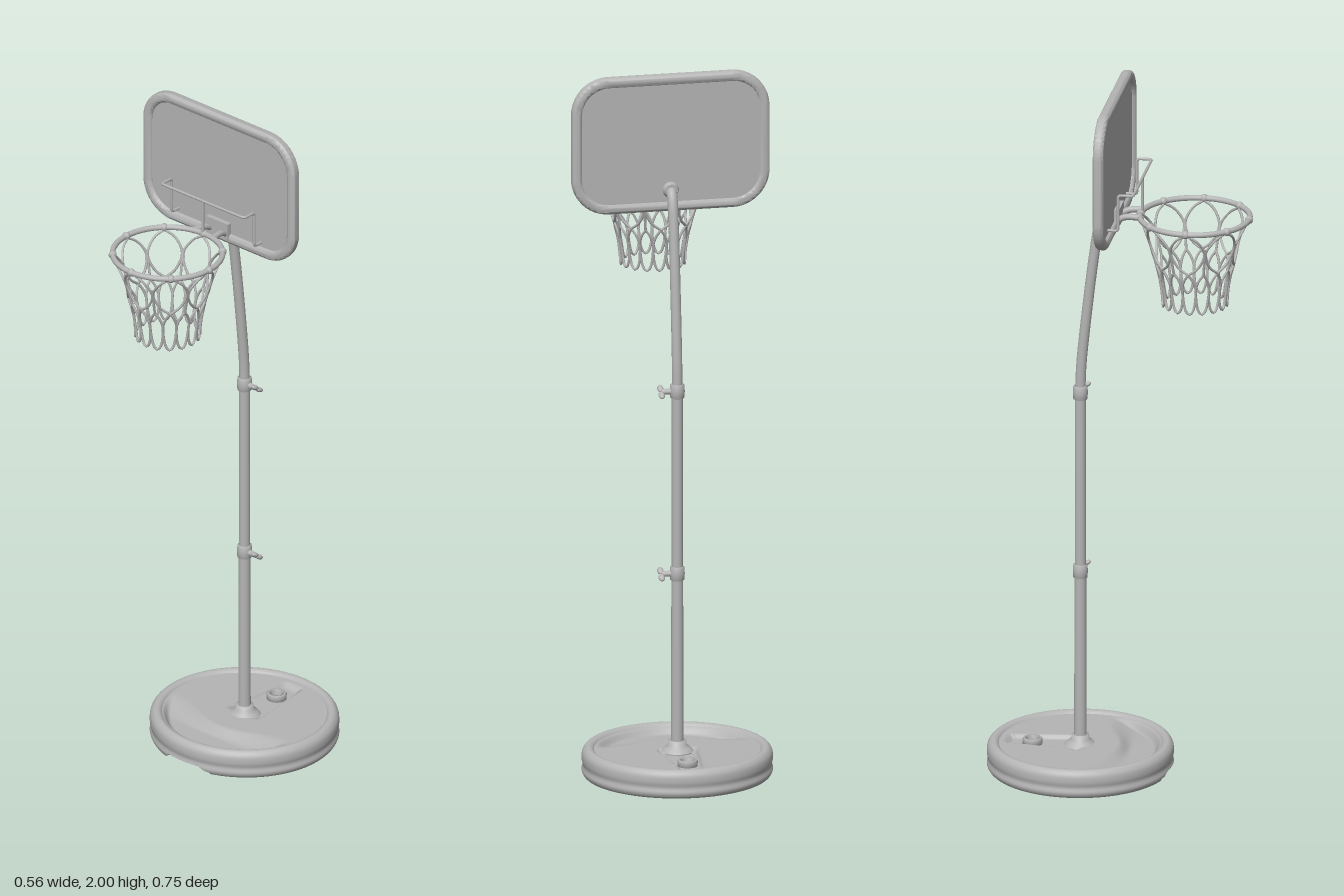
import * as THREE from 'three';
import { toCreasedNormals } from 'three/addons/utils/BufferGeometryUtils.js';
import { ParametricGeometry } from 'three/addons/geometries/ParametricGeometry.js';

const grey = new THREE.MeshStandardMaterial({ color: 0xb4b4b4, side: THREE.DoubleSide });
grey.name = 'plain grey';
const V = (x, y, z) => new THREE.Vector3(x, y, z);
const POLE_Z = -0.115, HOOP_Z = 0.208, HOOP_Y = 1.65, HOOP_R = 0.153;

function add(parent, name, geometry, x = 0, y = 0, z = 0) {
  const mesh = new THREE.Mesh(geometry, grey);
  mesh.name = name;
  mesh.position.set(x, y, z);
  parent.add(mesh);
  return mesh;
}

function tube(points, radius, segments = 24, sides = 8, tension = 0.5) {
  const curve = new THREE.CatmullRomCurve3(points, false, 'catmullrom', tension);
  return new THREE.TubeGeometry(curve, segments, radius, sides);
}

function lathe(pairs, sides = 32) {
  return new THREE.LatheGeometry(pairs.map(p => new THREE.Vector2(...p)), sides);
}

function roundedRect(w, h, r, Type = THREE.Shape) {
  const s = new Type(), a = w / 2 - r, b = h / 2 - r;
  s.absarc(a, b, r, 0, Math.PI / 2);
  s.absarc(-a, b, r, Math.PI / 2, Math.PI);
  s.absarc(-a, -b, r, Math.PI, Math.PI * 1.5);
  s.absarc(a, -b, r, Math.PI * 1.5, Math.PI * 2);
  s.closePath();
  return s;
}

// Hollow round foot with a dished top, filler hole and front notch
function makeBase() {
  const g = new THREE.Group();
  g.name = 'base';
  g.position.z = POLE_Z;
  g.scale.x = 1.025;
  const outline = new THREE.SplineCurve([
    [0.235, 0.002], [0.252, 0.004], [0.26, 0.018], [0.257, 0.034], [0.26, 0.05], [0.258, 0.07],
    [0.247, 0.083], [0.234, 0.083], [0.225, 0.074], [0.22, 0.06], [0.22, 0.02], [0.235, 0.002],
  ].map(p => new THREE.Vector2(...p)));
  const rim = new THREE.LatheGeometry(outline.getPoints(44), 96);
  const pos = rim.attributes.position;
  for (let i = 0; i < pos.count; i++) {
    if (pos.getZ(i) > 0 && Math.abs(pos.getX(i)) < 0.067) pos.setY(i, Math.max(pos.getY(i), 0.024));
  }
  add(g, 'baseRim', rim);

  const step = THREE.MathUtils.smoothstep;
  const holeZ = -0.135;
  const height = (x, z) => {
    const half = 0.03 + 0.025 * THREE.MathUtils.clamp((z + 0.205) / 0.2, 0, 1);
    const channel = (1 - step(Math.abs(x), half - 0.008, half + 0.004)) * step(z, -0.215, -0.19) * (1 - step(z, -0.02, 0.02));
    const front = step(z, 0.075 + 0.03 * Math.cos(x * 16), 0.14) * (1 - step(Math.hypot(x, z), 0.205, 0.225));
    return 0.076 - 0.012 * channel - 0.022 * front;
  };
  const plate = new ParametricGeometry((u, v, out) => {
    const a = -u * Math.PI * 2, r = 0.016 + (0.228 - 0.016) * v;
    const x = Math.cos(a) * r, z = Math.sin(a) * r + holeZ * (1 - v);
    out.set(x, height(x, z), z);
  }, 96, 60);
  add(g, 'baseTop', plate);
  add(g, 'fillerCollar', lathe([[0.015, 0.055], [0.027, 0.06], [0.028, 0.078], [0.024, 0.083], [0.017, 0.081], [0.015, 0.055]]), 0, 0, holeZ);
  add(g, 'poleSocket', lathe([[0.045, 0.07], [0.036, 0.08], [0.026, 0.088], [0.024, 0.1], [0.015, 0.1]]));
  add(g, 'socketUnderside', new THREE.CylinderGeometry(0.04, 0.04, 0.03, 6), 0, 0.055, 0);
  return g;
}

// Telescopic pole, bending forward at the top
function makePole() {
  const g = new THREE.Group();
  g.name = 'pole';
  add(g, 'lowerPole', new THREE.CylinderGeometry(0.0165, 0.0175, 0.53, 24), 0, 0.325, POLE_Z);
  add(g, 'middlePole', new THREE.CylinderGeometry(0.0155, 0.0155, 0.54, 24), 0, 0.84, POLE_Z);
  add(g, 'upperPole', tube([
    V(0, 1.08, POLE_Z), V(0, 1.18, -0.113), V(0, 1.3, -0.102), V(0, 1.45, -0.085), V(0, 1.57, -0.069),
    V(0, 1.63, -0.058), V(0, 1.66, -0.044), V(0, 1.668, -0.022)], 0.0145, 64, 20));
  const flange = add(g, 'boardFlange', new THREE.CylinderGeometry(0.018, 0.024, 0.014, 24), 0, 1.668, -0.034);
  flange.rotation.x = -Math.PI / 2;
  for (const y of [0.583, 1.11]) {
    const clamp = new THREE.Group();
    clamp.name = 'poleClamp';
    clamp.position.set(0, y, POLE_Z);
    add(clamp, 'collar', lathe([[0.015, -0.02], [0.02, -0.018], [0.021, 0], [0.02, 0.018], [0.015, 0.02]], 24));
    const stem = add(clamp, 'knobStem', new THREE.CylinderGeometry(0.007, 0.009, 0.03, 16), 0.03, 0, 0);
    stem.rotation.z = -Math.PI / 2;
    // Winged turning head
    const wing = new THREE.SphereGeometry(1, 16, 12);
    for (const s of [-1, 1]) {
      const w = add(clamp, 'knobWing', wing, 0.046, s * 0.007, s * 0.009);
      w.scale.set(0.009, 0.007, 0.014);
      w.rotation.x = -s * 0.5 * s;
    }
    g.add(clamp);
  }
  return g;
}

// Rounded board with a raised bead around the edge
function makeBoard() {
  const g = new THREE.Group();
  g.name = 'backboard';
  g.position.set(-0.001, 1.803, 0);
  const bevel = { depth: 0.01, bevelThickness: 0.01, bevelSize: 0.01, bevelSegments: 5, curveSegments: 16 };
  const edge = roundedRect(0.542, 0.374, 0.095);
  edge.holes.push(roundedRect(0.522, 0.354, 0.085, THREE.Path));
  add(g, 'boardEdge', toCreasedNormals(new THREE.ExtrudeGeometry(edge, bevel), 0.7), 0, 0, -0.023);
  const panel = new THREE.ExtrudeGeometry(roundedRect(0.53, 0.362, 0.088), { depth: 0.016, bevelEnabled: false, curveSegments: 16 });
  add(g, 'boardPanel', panel, 0, 0, -0.029);
  return g;
}

// Hoop with net hooks, its bracket and the wire target frame
function makeHoop() {
  const g = new THREE.Group();
  g.name = 'hoop';
  const ring = add(g, 'hoopRing', new THREE.TorusGeometry(HOOP_R, 0.008, 14, 80), 0, HOOP_Y, HOOP_Z);
  ring.rotation.x = Math.PI / 2;
  for (let i = 0; i < 8; i++) {
    const a = i * Math.PI / 4;
    add(g, 'netHook', new THREE.SphereGeometry(0.0115, 14, 10),
      Math.sin(a) * HOOP_R, HOOP_Y, HOOP_Z + Math.cos(a) * HOOP_R);
  }
  add(g, 'bracketPlate', new THREE.BoxGeometry(0.08, 0.05, 0.014), 0, 1.645, -0.006);
  for (const s of [-1, 1]) {
    add(g, 'bracketArm', tube([V(s * 0.028, 1.635, -0.008), V(s * 0.03, 1.648, 0.02), V(s * 0.036, HOOP_Y, 0.062)], 0.009, 16, 10));
  }
  const path = new THREE.CurvePath();
  const corners = [[-0.153, 1.65, -0.012], [-0.153, 1.65, 0.018], [-0.153, 1.755, 0.018], [-0.153, 1.755, 0.06],
    [0.153, 1.755, 0.06], [0.153, 1.755, 0.018], [0.153, 1.65, 0.018], [0.153, 1.65, -0.012]].map(p => V(...p));
  let from = corners[0];
  for (let i = 1; i < corners.length - 1; i++) {
    const c = corners[i];
    const before = c.clone().add(corners[i - 1].clone().sub(c).setLength(0.01));
    const after = c.clone().add(corners[i + 1].clone().sub(c).setLength(0.01));
    path.add(new THREE.LineCurve3(from, before));
    path.add(new THREE.QuadraticBezierCurve3(before, c, after));
    from = after;
  }
  path.add(new THREE.LineCurve3(from, corners[corners.length - 1]));
  add(g, 'targetFrame', new THREE.TubeGeometry(path, 240, 0.0042, 8));
  add(g, 'targetPost', new THREE.CylinderGeometry(0.0042, 0.0042, 0.115, 8), 0, 1.7, 0.06);
  return g;
}

// Net cords: wide open loops above, narrow loops below
function makeNet() {
  const g = new THREE.Group();
  g.name = 'net';
  const profile = new THREE.SplineCurve([[1.39, 0.09], [1.44, 0.093], [1.5, 0.105], [1.57, 0.125], [1.645, 0.148]]
    .map(p => new THREE.Vector2(...p)));
  const radius = profile.getPoints(60);
  const at = (angle, y) => {
    const p = radius.find(q => q.x >= y) || radius[radius.length - 1];
    return V(Math.sin(angle) * p.y, y, HOOP_Z + Math.cos(angle) * p.y);
  };
  const cell = Math.PI / 8;
  const cord = (a, pts) => add(g, 'netCord', tube(pts.map(([da, y]) => at(a + da * cell, y)), 0.0037, 18, 6));
  for (let i = 0; i < 8; i++) {
    const a = i * cell * 2;
    for (const s of [-1, 1]) {
      cord(a, [[0, 1.645], [s * 0.5, 1.627], [s * 0.9, 1.597], [s * 0.95, 1.57], [s * 0.6, 1.536], [0, 1.515]]);
    }
    cord(a + cell, [[0, 1.597], [0, 1.56], [0, 1.515]]);
  }
  for (let i = 0; i < 16; i++) {
    for (const s of [-1, 1]) cord(i * cell, [[0, 1.515], [s * 0.3, 1.495], [s * 0.5, 1.47], [s * 0.5, 1.45]]);
    cord(i * cell, [[-0.5, 1.45], [-0.42, 1.42], [-0.25, 1.4], [0, 1.392], [0.25, 1.4], [0.42, 1.42], [0.5, 1.45]]);
  }
  return g;
}

export function createModel() {
  const model = new THREE.Group();
  model.name = 'basketballStand';
  model.add(makeBase(), makePole(), makeBoard(), makeHoop(), makeNet());
  return model;
}
